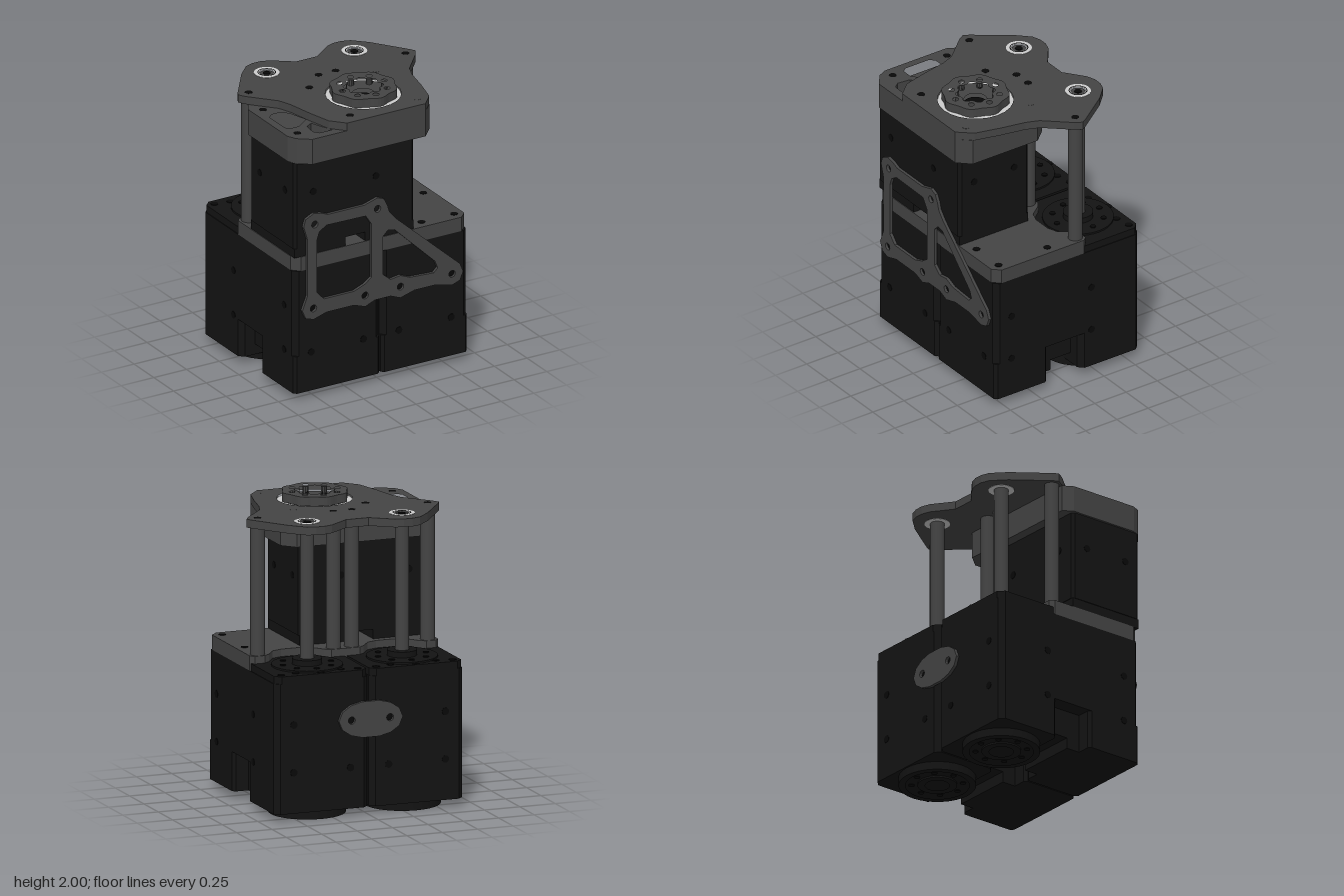
import * as THREE from 'three';

const mat = (color) => new THREE.MeshStandardMaterial({ color, roughness: 0.8 });

export function createModel() {
  const model = new THREE.Group();
  const black = mat(0x131313), grey = mat(0x444444), light = mat(0xcccccc), hole = mat(0x080808);

  const add = (name, geo, m, x = 0, y = 0, z = 0, parent = model) => {
    const mesh = new THREE.Mesh(geo, m);
    mesh.name = name;
    mesh.position.set(x, y, z);
    parent.add(mesh);
    return mesh;
  };
  const shapeOf = (pts, holes = []) => {
    const s = new THREE.Shape(pts.map(([a, b]) => new THREE.Vector2(a, b)));
    holes.forEach((h) => s.holes.push(new THREE.Path(h.map(([a, b]) => new THREE.Vector2(a, b)))));
    return s;
  };
  const circle = (cx, cy, r, n = 16) => Array.from({ length: n }, (_, i) => {
    const a = (i / n) * Math.PI * 2;
    return [cx + r * Math.cos(a), cy + r * Math.sin(a)];
  });
  // extrude a plan outline given as [x, z] between two heights
  const slab = (name, pts, y0, y1, m, holes = []) => {
    const flip = (list) => list.map(([x, z]) => [x, -z]);
    const g = new THREE.ExtrudeGeometry(shapeOf(flip(pts), holes.map(flip)), { depth: y1 - y0, bevelEnabled: false });
    g.rotateX(-Math.PI / 2);
    return add(name, g, m, 0, y0, 0);
  };
  // rectangle with chamfered corners
  const plan = (x0, x1, z0, z1, c) => [
    [x0 + c, z0], [x1 - c, z0], [x1, z0 + c], [x1, z1 - c],
    [x1 - c, z1], [x0 + c, z1], [x0, z1 - c], [x0, z0 + c]];
  const cyl = (name, r, y0, y1, x, z, m, n = 24) =>
    add(name, new THREE.CylinderGeometry(r, r, y1 - y0, n), m, x, (y0 + y1) / 2, z);
  const block = (name, x0, x1, y0, y1, z0, z1, m) =>
    add(name, new THREE.BoxGeometry(x1 - x0, y1 - y0, z1 - z0), m, (x0 + x1) / 2, (y0 + y1) / 2, (z0 + z1) / 2);
  const ring = (name, r0, r1, y, x, z, m, n = 24) => {
    const g = new THREE.RingGeometry(r0, r1, n);
    g.rotateX(-Math.PI / 2);
    return add(name, g, m, x, y, z);
  };
  const mirror = (half) => [...half, ...half.map(([x, z]) => [-x, z]).reverse()];
  const frontScrew = (x, y, z) => {
    const g = new THREE.CylinderGeometry(0.025, 0.025, 0.006, 12);
    g.rotateX(Math.PI / 2);
    add('faceScrew', g, hole, x, y, z);
  };
  const sideScrew = (x, y, z) => {
    const g = new THREE.CylinderGeometry(0.025, 0.025, 0.006, 12);
    g.rotateZ(Math.PI / 2);
    add('sideScrew', g, hole, x, y, z);
  };

  // two lower motors
  for (const s of [-1, 1]) {
    const c = s * 0.335, x0 = c - 0.33, x1 = c + 0.33;
    slab('lowerMotorBody', plan(x0, x1, -0.6, 0.56, 0.035), 0.32, 0.93, black);
    slab('lowerMotorFrontFoot', plan(x0, x1, 0.14, 0.56, 0.02), 0.055, 0.32, black);
    slab('lowerMotorRearFoot', plan(x0, x1, -0.6, -0.12, 0.035), 0.055, 0.32, black);
    block('lowerMotorCore', c - 0.22, c + 0.22, 0.13, 0.32, -0.12, 0.14, black);
    block('lowerMotorCoreFoot', c - 0.22, c + 0.22, 0.055, 0.13, 0.04, 0.14, black);
    slab('lowerMotorCap', plan(x0 + 0.005, x1 - 0.005, -0.6, 0.0, 0.04), 0.93, 0.98, black);
    // horns above and below
    cyl('topHornDisc', 0.235, 0.98, 0.992, c, -0.335, black, 32);
    cyl('topHornHub', 0.1, 0.992, 1.03, c, -0.335, black);
    cyl('bottomHornDisc', 0.255, 0.012, 0.09, c, -0.335, black, 32);
    for (const [r0, r1] of [[0.21, 0.255], [0.08, 0.13]]) {
      slab('bottomHornRidge', circle(c, -0.335, r1, 32), 0, 0.012, black, [circle(c, -0.335, r0, 32)]);
    }
    for (let i = 0; i < 8; i++) {
      const a = (i * Math.PI) / 4;
      cyl('hornScrew', 0.02, 0.98, 0.998, c + 0.17 * Math.cos(a), -0.335 + 0.17 * Math.sin(a), hole, 10);
      cyl('hornScrew', 0.02, 0.006, 0.014, c + 0.17 * Math.cos(a), -0.335 + 0.17 * Math.sin(a), hole, 10);
    }
    for (const [dx, z] of [[-0.27, -0.55], [0, -0.575], [0.27, -0.55], [-0.16, -0.53], [0.16, -0.53]]) {
      cyl('capScrew', 0.025, 0.978, 0.984, c + dx, z, hole, 12);
    }
    for (const y of [0.33, 0.65]) {
      for (const dx of [-0.2, 0.2]) {
        frontScrew(c + dx, y, 0.56);
        frontScrew(c + dx, y, -0.6);
      }
      for (const z of [0.43, -0.21]) sideScrew(s * 0.665, y, z);
    }
  }

  // middle plate with scallops around the horns
  slab('middlePlate', mirror([
    [0, -0.18], [0.1, -0.18], [0.14, -0.15], [0.2, -0.07], [0.27, -0.045], [0.4, -0.045],
    [0.47, -0.07], [0.53, -0.15], [0.57, -0.18], [0.64, -0.18], [0.665, -0.15], [0.665, 0.51], [0.615, 0.56], [0, 0.56],
  ].slice(1, -1)), 0.93, 1.03, grey);
  for (const [x, z] of [[0.6, 0.49], [0.6, 0.1], [0.35, 0.49]]) cyl('plateScrew', 0.025, 1.028, 1.033, x, z, hole, 12);

  // upper motor with a slot through its underside
  slab('upperMotorBody', plan(-0.665, 0.255, 0, 0.56, 0.02), 1.095, 1.71, black);
  block('upperMotorFootRight', -0.66, -0.27, 1.03, 1.095, 0.005, 0.555, black);
  block('upperMotorFootLeft', -0.12, 0.25, 1.03, 1.095, 0.005, 0.555, black);
  for (const x of [-0.52, -0.04]) {
    frontScrew(x, 1.48, 0.56);
    frontScrew(x, 1.48, 0);
  }
  for (const z of [0.12, 0.44]) {
    sideScrew(0.255, 1.48, z);
    sideScrew(-0.665, 1.48, z);
  }

  // thick bracket with two pockets in its top
  const bracket = [[-0.68, 0.0], [-0.64, -0.07], [0.3, -0.07], [0.38, 0.02], [0.38, 0.54], [0.3, 0.625],
    [-0.565, 0.625], [-0.65, 0.56], [-0.68, 0.5]];
  slab('bracketBase', bracket, 1.71, 1.78, grey);
  slab('bracketRim', bracket, 1.78, 1.89, grey, [
    [[-0.625, 0.18], [-0.59, 0.15], [-0.52, 0.15], [-0.48, 0.2], [-0.44, 0.33], [-0.53, 0.4], [-0.6, 0.4], [-0.625, 0.37]],
    [[-0.44, 0.4], [-0.49, 0.43], [-0.5, 0.52], [-0.47, 0.56], [-0.37, 0.56], [-0.41, 0.48]],
  ]);
  for (const z of [0.055, 0.49]) {
    ring('bracketBoltRing', 0.025, 0.045, 1.892, -0.6, z, grey);
    cyl('bracketBolt', 0.026, 1.885, 1.893, -0.6, z, hole, 12);
  }

  // top plate, open around the output horn and the two rear post bearings
  const hx = 0.035, hz = 0.275;
  slab('topPlate', mirror([
    [0.08, -0.385], [0.22, -0.49], [0.28, -0.51], [0.34, -0.51], [0.4, -0.49], [0.49, -0.4], [0.66, -0.165],
    [0.68, -0.13], [0.65, -0.08], [0.5, 0.09], [0.465, 0.18], [0.43, 0.355], [0.385, 0.53], [0.3, 0.625],
  ]), 1.89, 1.945, grey, [
    circle(hx, hz, 0.25, 24), circle(-0.335, -0.335, 0.085), circle(0.335, -0.335, 0.085),
  ]);
  for (const [x, z] of [[-0.6, -0.125], [0.6, -0.125], [-0.065, -0.125], [0.065, -0.125],
    [-0.22, 0.015], [-0.22, 0.53], [0.29, 0.015], [0.29, 0.53]]) {
    ring('topBoltRing', 0.025, 0.045, 1.947, x, z, grey);
    cyl('topBolt', 0.026, 1.94, 1.948, x, z, x === 0.29 ? grey : hole, 12);
  }

  // output bearing and scalloped crown horn
  slab('outputBearing', circle(hx, hz, 0.25, 24), 1.88, 1.935, light, [circle(hx, hz, 0.1, 24)]);
  const wave = (r, d, n, steps) => Array.from({ length: steps }, (_, i) => {
    const a = (i / steps) * Math.PI * 2, q = r + d * Math.cos(n * a);
    return [hx + q * Math.cos(a), hz + q * Math.sin(a)];
  });
  const bolts = [];
  for (let i = 0; i < 8; i++) {
    const a = (i * Math.PI) / 4;
    bolts.push(circle(hx + 0.16 * Math.cos(a), hz + 0.16 * Math.sin(a), 0.021, 10));
  }
  slab('hornCrown', wave(0.218, 0.008, 8, 64), 1.94, 2.0, grey, [wave(0.122, -0.012, 8, 64), ...bolts]);
  slab('hornFloor', circle(hx, hz, 0.205, 32), 1.9, 1.945, grey, [circle(hx, hz, 0.076, 24)]);
  cyl('hornCentre', 0.08, 1.88, 1.915, hx, hz, hole);
  bolts.forEach((b) => slab('hornBolt', b, 1.943, 1.96, hole));

  // six posts, the rear pair with light bearings
  for (const s of [-1, 1]) {
    for (const x of [0.065, 0.6]) cyl('platePost', 0.049, 1.03, 1.89, s * x, -0.125, grey);
    cyl('hornPost', 0.047, 1.03, 1.94, s * 0.335, -0.335, grey);
    slab('postBearing', circle(s * 0.335, -0.335, 0.085, 24), 1.888, 1.947, light, [circle(s * 0.335, -0.335, 0.048, 24)]);
    ring('postBearingGroove', 0.055, 0.062, 1.9485, s * 0.335, -0.335, hole);
    cyl('postBolt', 0.025, 1.93, 1.945, s * 0.335, -0.335, hole, 12);
  }

  // front brace
  const holesAt = [[-0.52, 1.25], [-0.04, 1.25], [-0.53, 0.65], [-0.135, 0.65], [0.135, 0.65], [0.53, 0.65]];
  const brace = shapeOf([
    [-0.605, 1.25], [-0.59, 1.3], [-0.53, 1.33], [-0.47, 1.32], [-0.42, 1.3], [-0.14, 1.3], [-0.04, 1.33],
    [0.01, 1.31], [0.035, 1.26], [0.05, 1.21], [0.1, 1.15], [0.59, 0.71], [0.615, 0.65], [0.59, 0.59], [0.53, 0.57],
    [0.4, 0.6], [0.24, 0.6], [0.135, 0.57], [0.06, 0.6], [-0.06, 0.6], [-0.135, 0.57], [-0.22, 0.6], [-0.43, 0.6],
    [-0.53, 0.57], [-0.59, 0.59], [-0.615, 0.65], [-0.575, 0.75], [-0.575, 1.15],
  ], [
    [[-0.505, 0.76], [-0.45, 0.7], [-0.22, 0.7], [-0.14, 0.73], [-0.085, 0.77], [-0.085, 1.15], [-0.13, 1.22],
      [-0.43, 1.225], [-0.485, 1.19], [-0.505, 1.13]],
    [[0, 0.77], [0.06, 0.72], [0.135, 0.73], [0.21, 0.7], [0.39, 0.69], [0.42, 0.72], [0.4, 0.77], [0.09, 1.07], [0.04, 1.08], [0, 1.04]],
    ...holesAt.map(([x, y]) => circle(x, y, 0.025, 12)),
  ]);
  add('frontBrace', new THREE.ExtrudeGeometry(brace, { depth: 0.02, bevelEnabled: false }), grey, 0, 0, 0.56);

  // rear joining plate
  const oval = shapeOf([[-0.225, 0], [-0.2, 0.06], [-0.14, 0.1], [-0.06, 0.12], [0.06, 0.12], [0.14, 0.1], [0.2, 0.06],
    [0.225, 0], [0.2, -0.06], [0.14, -0.1], [0.06, -0.12], [-0.06, -0.12], [-0.14, -0.1], [-0.2, -0.06]],
  [circle(-0.135, 0, 0.025, 12), circle(0.135, 0, 0.025, 12)]);
  add('rearPlate', new THREE.ExtrudeGeometry(oval, { depth: 0.022, bevelEnabled: false }), grey, 0, 0.65, -0.624);

  return model;
}
